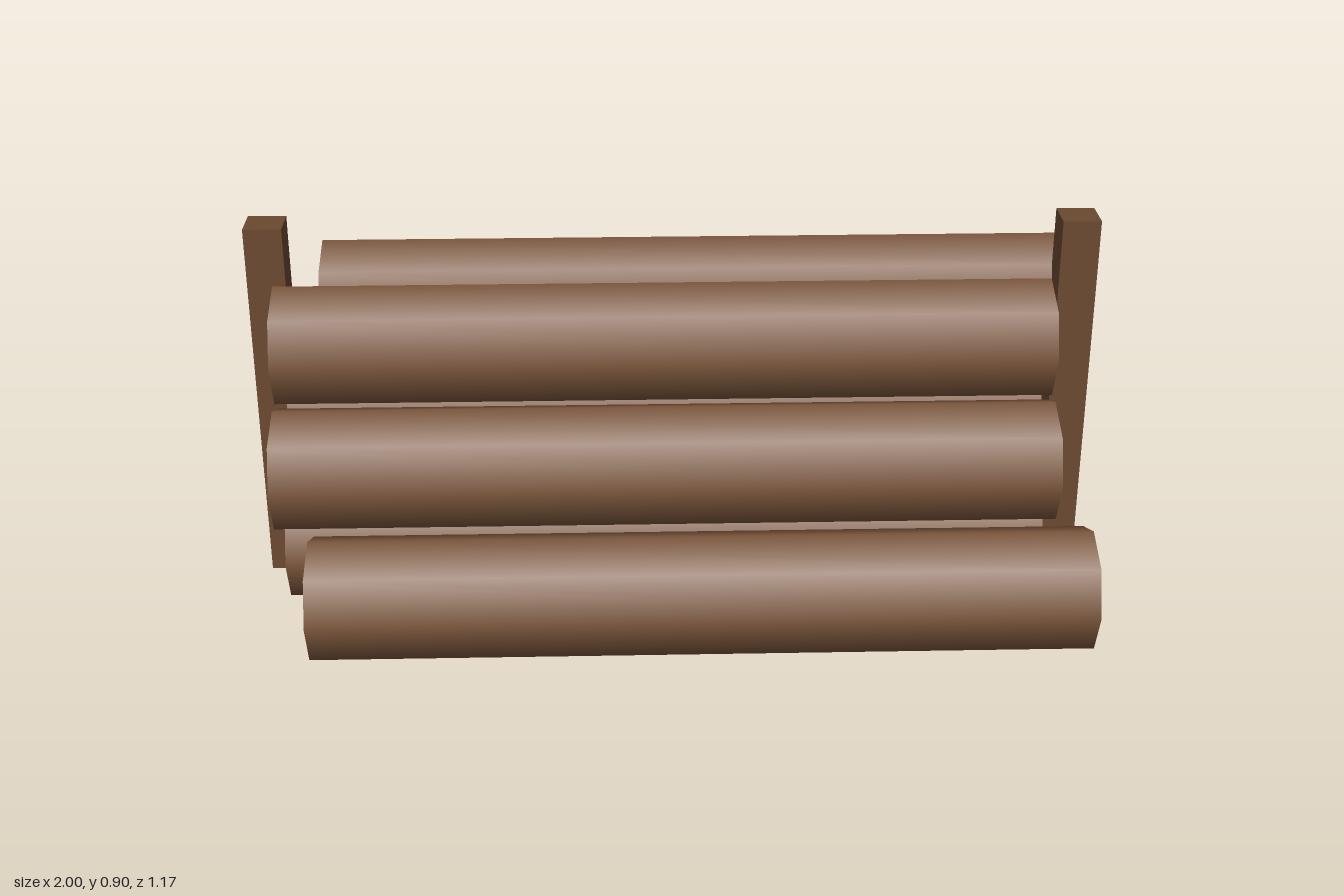
import * as THREE from 'three';

export function createModel() {
  const model = new THREE.Group();
  model.name = 'logPile';
  const bark = new THREE.MeshStandardMaterial({ color: 0x7a553b });
  const stake = new THREE.MeshStandardMaterial({ color: 0x6a4930 });

  // Eight-sided logs lying along x, smooth round the bark
  const R = 0.146;
  const logGeometry = new THREE.CylinderGeometry(R, R, 1.795, 8).rotateZ(Math.PI / 2);

  // Rows from the ground up: height, then z and sideways shift of each log
  const rows = [
    { y: 0.146, logs: [[0.438, 0.053], [0.146, -0.027], [-0.146, -0.024], [-0.438, 0.053]] },
    { y: 0.406, logs: [[0.292, -0.027], [0, -0.022], [-0.292, 0.053]] },
    { y: 0.653, logs: [[0.146, -0.027], [-0.146, 0.053]] },
  ];
  rows.forEach(({ y, logs }, r) => {
    const row = new THREE.Group();
    row.name = ['bottomRow', 'middleRow', 'topRow'][r];
    logs.forEach(([z, x], i) => {
      const log = new THREE.Mesh(logGeometry, bark);
      log.name = `log${i + 1}`;
      log.position.set(x, y, z);
      row.add(log);
    });
    model.add(row);
  });

  // Upright post at each end
  const postGeometry = new THREE.BoxGeometry(0.09, 0.9, 0.09);
  for (const side of [-1, 1]) {
    const post = new THREE.Mesh(postGeometry, stake);
    post.name = side > 0 ? 'leftPost' : 'rightPost';
    post.position.set(side * 0.955, 0.45, 0);
    model.add(post);
  }
  return model;
}
